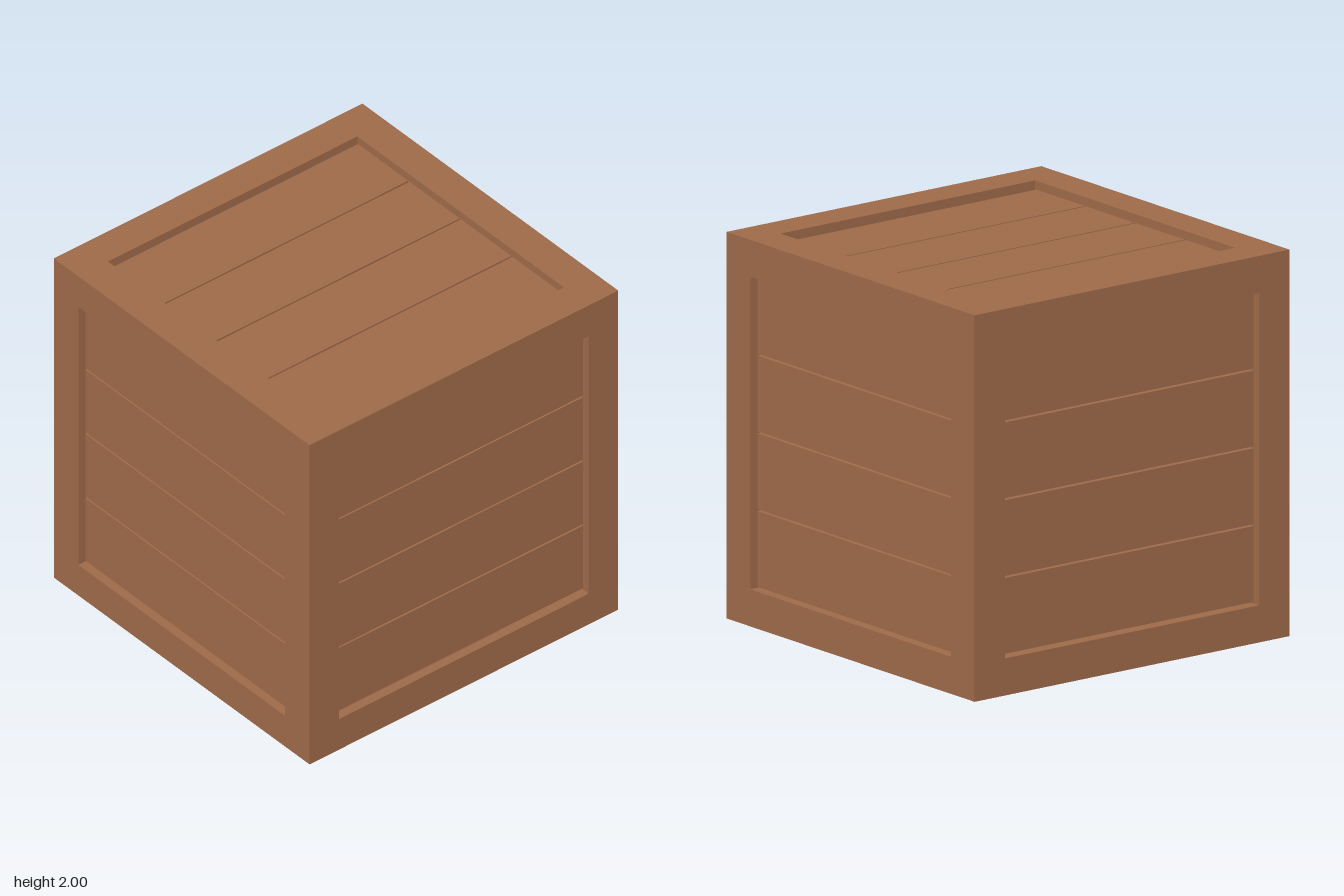
import * as THREE from 'three';
import { mergeGeometries } from 'three/addons/utils/BufferGeometryUtils.js';

const HALF = 1;          // half the crate's size
const OPEN = 0.808;      // half the opening in each side
const BEAM = HALF - OPEN;
const RECESS = 0.045;    // planks sit this far behind the frame
const THICK = 0.09;      // plank thickness
const PITCH = 0.4025;
const GAP = 0.01;

// Frame face with a square opening, plus the four inner walls of the opening
function frameSide() {
  const square = (r, path) => path.moveTo(-r, -r).lineTo(r, -r).lineTo(r, r).lineTo(-r, r).closePath();
  const shape = square(HALF, new THREE.Shape());
  shape.holes.push(square(OPEN, new THREE.Path()));
  const parts = [new THREE.ShapeGeometry(shape).translate(0, 0, HALF)];
  for (let i = 0; i < 4; i++) {
    parts.push(new THREE.PlaneGeometry(OPEN * 2, BEAM)
      .rotateX(-Math.PI / 2)
      .translate(0, -OPEN, HALF - BEAM / 2)
      .rotateZ(i * Math.PI / 2));
  }
  return mergeGeometries(parts);
}

export function createModel() {
  const wood = new THREE.MeshStandardMaterial({ name: 'brown wood', color: 0x9e6a49 });
  const crate = new THREE.Group();
  crate.name = 'crate';

  // Each side: its turn about x and y, and a small offset of its planks
  const sides = [
    { name: 'front', rx: 0, ry: 0, shift: 0 },
    { name: 'right', rx: 0, ry: -Math.PI / 2, shift: -0.003 },
    { name: 'back', rx: 0, ry: Math.PI, shift: 0 },
    { name: 'left', rx: 0, ry: Math.PI / 2, shift: -0.003 },
    { name: 'top', rx: -Math.PI / 2, ry: 0, shift: 0.003 },
    { name: 'bottom', rx: Math.PI / 2, ry: 0, shift: -0.003 },
  ];

  // Beams: the six sides join into one closed frame
  const frame = new THREE.Mesh(
    mergeGeometries(sides.map((s) => frameSide().rotateX(s.rx).rotateY(s.ry))), wood);
  frame.name = 'frame';
  crate.add(frame);

  // Four recessed planks in every side, with narrow open gaps
  const plankGeometry = new THREE.BoxGeometry(OPEN * 2, PITCH - GAP, THICK);
  for (const s of sides) {
    const panel = new THREE.Group();
    panel.name = s.name + 'Planks';
    panel.rotation.set(s.rx, s.ry, 0);
    for (let i = 0; i < 4; i++) {
      const plank = new THREE.Mesh(plankGeometry, wood);
      plank.name = s.name + 'Plank' + (i + 1);
      plank.position.set(0, (i - 1.5) * PITCH + s.shift, HALF - RECESS - THICK / 2);
      panel.add(plank);
    }
    crate.add(panel);
  }

  crate.position.y = HALF;
  const model = new THREE.Group();
  model.name = 'woodenCrate';
  model.add(crate);
  return model;
}
